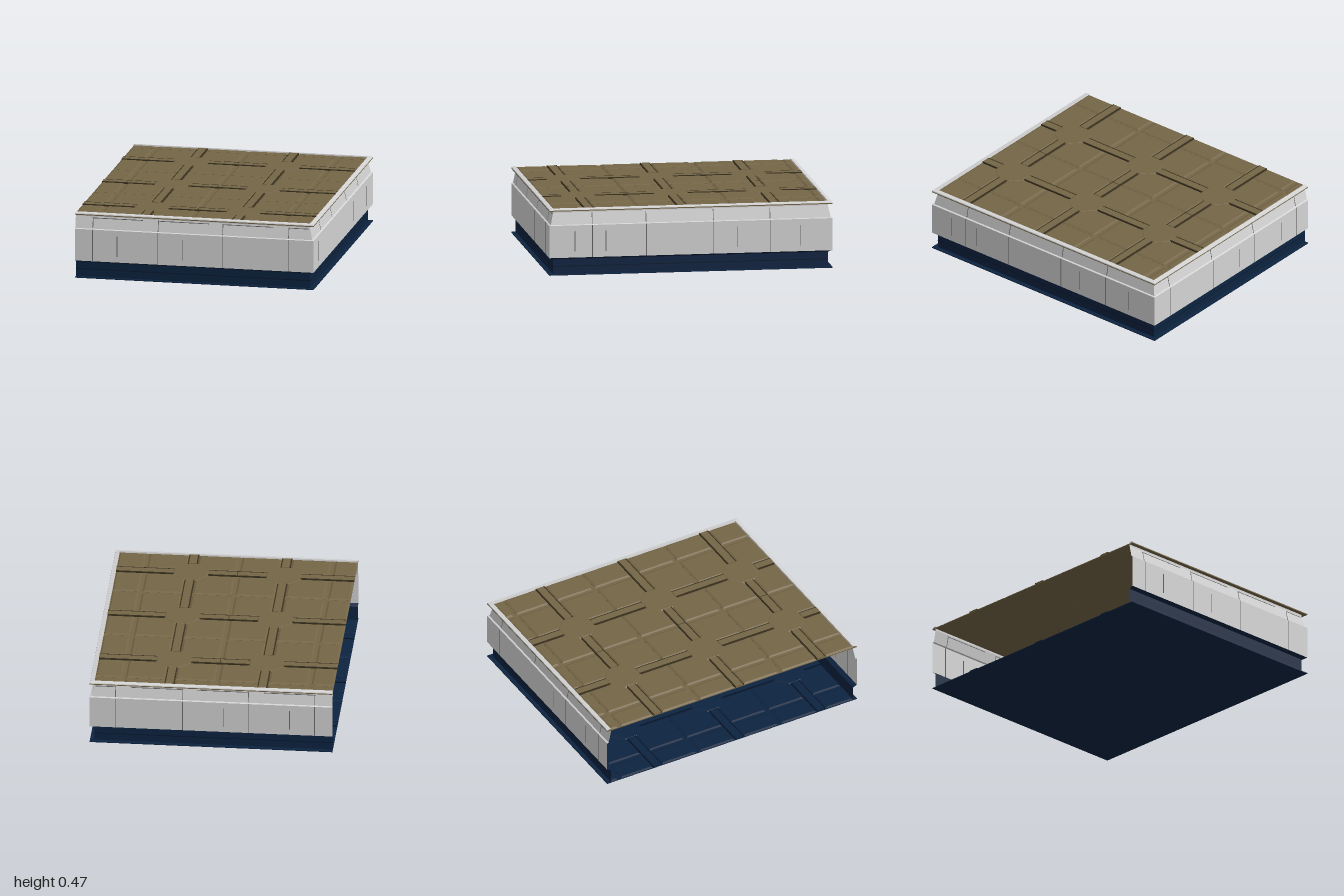
import * as THREE from 'three';

const W = 0.85, D = 1; // half width (x) and half depth (z)
const XS = [-0.355, 0.295], ZS = [-0.595, 0.06, 0.715]; // channel centres
const both = THREE.DoubleSide;
const mat = (name, color, side = THREE.FrontSide) => {
  const m = new THREE.MeshStandardMaterial({ color, side });
  m.name = name;
  return m;
};

// Sheet swept round the three closed sides; profile is [inset, y] from low to high
function sweep(profile) {
  const ring = ([i, y]) => [[-W, y, D - i], [W - i, y, D - i], [W - i, y, i - D], [-W, y, i - D]];
  const pos = [];
  for (let p = 0; p < profile.length - 1; p++) {
    const lo = ring(profile[p]), hi = ring(profile[p + 1]);
    for (let s = 0; s < 3; s++) {
      pos.push(...lo[s], ...lo[s + 1], ...hi[s + 1], ...lo[s], ...hi[s + 1], ...hi[s]);
    }
  }
  const g = new THREE.BufferGeometry();
  g.setAttribute('position', new THREE.Float32BufferAttribute(pos, 3));
  g.computeVertexNormals();
  return g;
}

export function createModel() {
  const root = new THREE.Group();
  root.name = 'corridorBlock';
  const grey = mat('light grey wall', 0xd4d4d4, both);
  const seamGrey = mat('seam grey', 0x6e6e6e);
  const brown = mat('brown roof', 0x746546);
  const darkBrown = mat('dark brown groove', 0x3a3220);
  const navy = mat('navy base', 0x0c2340, both);
  const darkNavy = mat('dark navy groove', 0x07152a);

  const add = (parent, name, geo, material, x = 0, y = 0, z = 0) => {
    const m = new THREE.Mesh(geo, material);
    m.name = name;
    m.position.set(x, y, z);
    parent.add(m);
    return m;
  };
  const box = (parent, name, material, w, h, d, x, y, z) =>
    add(parent, name, new THREE.BoxGeometry(w, h, d), material, x, y, z);

  // Low bevelled plate lying flat, from an outline in x and z
  const plate = (parent, name, material, points, y, h, bevel) => {
    const shape = new THREE.Shape(points.map(([x, z]) => new THREE.Vector2(x, -z)));
    const g = new THREE.ExtrudeGeometry(shape, {
      depth: 0.001, bevelEnabled: true, bevelSegments: 1,
      bevelSize: bevel, bevelOffset: -bevel, bevelThickness: h,
    });
    g.rotateX(-Math.PI / 2);
    add(parent, name, g, material, 0, y, 0);
  };
  const rect = (x0, x1, z0, z1) => [[x0, z0], [x0, z1], [x1, z1], [x1, z0]];
  const octagon = (cx, cz, r) => [...Array(8)].map((_, i) => {
    const a = Math.PI / 8 - i * Math.PI / 4;
    return [cx + Math.cos(a) * r, cz + Math.sin(a) * r];
  });
  // Gaps left between the given centres, between two limits
  const spans = (centres, gap, lo, hi) => {
    const edges = [lo, ...centres.flatMap(c => [c - gap, c + gap]), hi];
    const out = [];
    for (let i = 0; i < edges.length; i += 2) out.push([edges[i], edges[i + 1]]);
    return out;
  };

  // Panelled deck: bevelled panels, channels with grooves and octagonal pads
  function deck(name, material, groove, y, h) {
    const g = new THREE.Group();
    g.name = name;
    const x0 = -W, x1 = W - 0.03, z0 = -D + 0.03, z1 = D - 0.03;
    const faintX = [-0.68, -0.03, 0.62], faintZ = [-0.9, -0.27, 0.385];
    const cutsX = [...XS.map(c => [c, 0.036]), ...faintX.map(c => [c, 0.012])].sort((a, b) => a[0] - b[0]);
    const cutsZ = [...ZS.map(c => [c, 0.036]), ...faintZ.map(c => [c, 0.012])].sort((a, b) => a[0] - b[0]);
    const cells = (cuts, lo, hi) => {
      const e = [lo, ...cuts.flatMap(([c, r]) => [c - r, c + r]), hi];
      return e.filter((_, i) => i % 2 === 0).map((v, i) => [v, e[2 * i + 1]]);
    };
    for (const [a, b] of cells(cutsX, x0, x1))
      for (const [c, d] of cells(cutsZ, z0, z1))
        plate(g, 'panel', material, rect(a, b, c, d), y, h * 0.5, 0.014);

    const strip = (n, m, w, d, x, z, k) => box(g, n, m, w, h * k, d, x, y + h * k / 2, z);
    for (const x of XS)
      for (const [a, b] of spans(ZS, 0.12, z0, z1)) {
        strip('channel', material, 0.06, b - a, x, (a + b) / 2, 0.75);
        for (const s of [-1, 1]) strip('groove', groove, 0.008, b - a, x + s * 0.031, (a + b) / 2, 0.78);
      }
    for (const z of ZS) {
      for (const [a, b] of spans(XS, 0.12, x0, x1)) {
        strip('channel', material, b - a, 0.06, (a + b) / 2, z, 0.75);
        for (const s of [-1, 1]) strip('groove', groove, b - a, 0.008, (a + b) / 2, z + s * 0.031, 0.78);
      }
      strip('joint', groove, 0.005, 0.06, -0.03, z, 0.78);
      for (const x of XS) plate(g, 'octagonPad', material, octagon(x, z, 0.14), y, h * 0.6, 0.014);
    }
    root.add(g);
  }

  // Floor and navy skirting
  box(root, 'floorPlate', navy, 2 * W, 0.006, 2 * D, 0, 0.003, 0);
  deck('floorPanels', navy, darkNavy, 0.006, 0.01);
  add(root, 'skirting', sweep([[0.03, 0.004], [0.03, 0.11], [0.01, 0.12], [0, 0.125]]), navy);
  add(root, 'skirtingLine', sweep([[0.029, 0.057], [0.029, 0.062]]), darkNavy);

  // Walls on the front, back and +x side; the -x side stays open
  add(root, 'walls', sweep([[0, 0.124], [0, 0.352], [0.012, 0.356], [0.03, 0.44], [0.03, 0.46]]), grey);

  // Roof
  box(root, 'roofPlate', brown, 2 * W, 0.006, 2 * D, 0, 0.456, 0);
  deck('roofPanels', brown, darkBrown, 0.459, 0.013);
  add(root, 'roofRim', sweep([[0, 0.46], [0.002, 0.466], [0.03, 0.471], [0.032, 0.46]]), grey);

  // Wall seams: each face is a group whose local +z points outwards
  const face = (name, angle) => {
    const g = new THREE.Group();
    g.name = name;
    g.rotation.y = angle;
    root.add(g);
    return g;
  };
  const seam = (g, x, dist, full) => {
    if (!full) return box(g, 'shortSeam', seamGrey, 0.005, 0.145, 0.002, x, 0.238, dist);
    box(g, 'seam', seamGrey, 0.005, 0.226, 0.002, x, 0.238, dist);
    const s = box(g, 'upperSeam', seamGrey, 0.005, 0.078, 0.002, x, 0.396, dist - 0.0203);
    s.rotation.x = -Math.atan2(0.018, 0.084);
  };
  const dash = (g, a, b, dist) => box(g, 'dashSeam', seamGrey, b - a, 0.005, 0.002, (a + b) / 2, 0.43, dist - 0.0275);

  for (const [name, angle, s] of [['frontSeams', 0, 1], ['backSeams', Math.PI, -1]]) {
    const g = face(name, angle);
    for (const x of [-0.725, -0.26, 0.2, 0.67]) seam(g, s * x, D, true);
    for (const x of [-0.55, -0.085]) seam(g, s * x, D, false);
    for (const [a, b] of [[-0.73, -0.37], [-0.26, 0.1], [0.2, 0.56], [0.67, 0.81]])
      dash(g, Math.min(s * a, s * b), Math.max(s * a, s * b), D);
  }
  const side = face('sideSeams', Math.PI / 2);
  for (const z of [0.695, 0.315, -0.16, -0.56]) seam(side, -z, W, true);
  for (const z of [0.82, 0.6, -0.33, -0.77]) seam(side, -z, W, false);

  return root;
}
